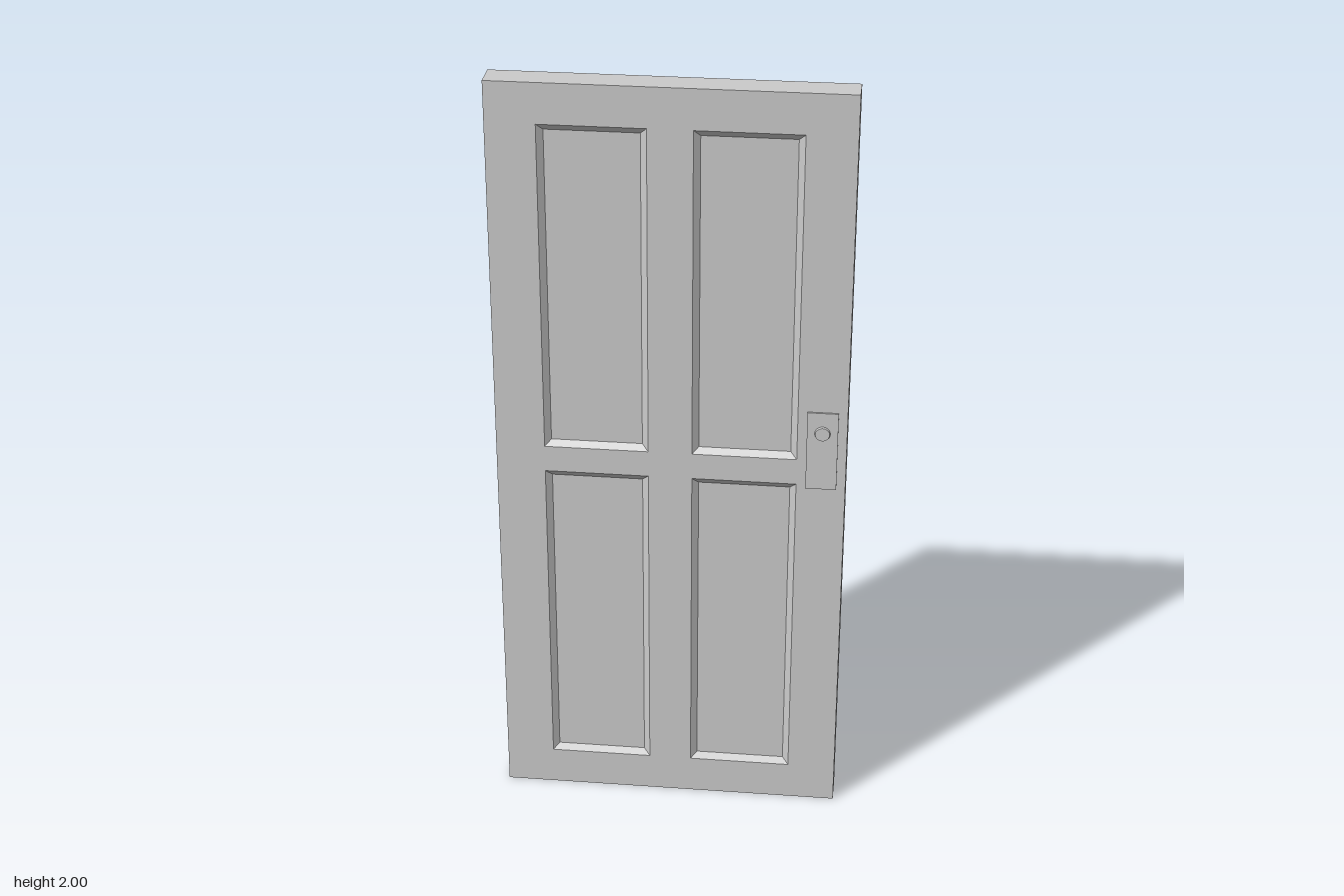
import * as THREE from 'three';

const HALF_W = 0.44, HEIGHT = 2, HALF_T = 0.037;
const BEVEL = 0.016, DEPTH = 0.012;
const material = new THREE.MeshStandardMaterial({ color: 0xcccccc });

// Sunken panels: left, right, bottom, top
const panels = [];
for (const [x0, x1] of [[-0.317, -0.055], [0.055, 0.317]]) {
  for (const [y0, y1] of [[0.103, 0.967], [1.037, 1.897]]) panels.push([x0, x1, y0, y1]);
}

function addMesh(parent, name, geometry) {
  const mesh = new THREE.Mesh(geometry, material);
  mesh.name = name;
  parent.add(mesh);
  return mesh;
}

const corners = (x0, x1, y0, y1) => [[x0, y0], [x1, y0], [x1, y1], [x0, y1]];
const points = (...box) => corners(...box).map(([x, y]) => new THREE.Vector2(x, y));

// Stiles and rails: one slab with the panel openings cut through
function frameGeometry() {
  const shape = new THREE.Shape(points(-HALF_W, HALF_W, 0, HEIGHT));
  for (const panel of panels) shape.holes.push(new THREE.Path(points(...panel).reverse()));
  const geometry = new THREE.ExtrudeGeometry(shape, { depth: 2 * HALF_T, bevelEnabled: false });
  return geometry.translate(0, 0, -HALF_T);
}

// Panel: mitred sloping border down to a flat floor
function panelGeometry(x0, x1, y0, y1) {
  const rim = corners(x0, x1, y0, y1).map(([x, y]) => [x, y, HALF_T]);
  const floor = corners(x0 + BEVEL, x1 - BEVEL, y0 + BEVEL, y1 - BEVEL)
    .map(([x, y]) => [x, y, HALF_T - DEPTH]);
  const index = [4, 5, 6, 4, 6, 7];
  for (let i = 0; i < 4; i++) {
    const j = (i + 1) % 4;
    index.push(i, j, j + 4, i, j + 4, i + 4);
  }
  const indexed = new THREE.BufferGeometry();
  indexed.setAttribute('position', new THREE.Float32BufferAttribute([...rim, ...floor].flat(), 3));
  indexed.setIndex(index);
  const geometry = indexed.toNonIndexed();
  geometry.computeVertexNormals();
  return geometry;
}

// Panels and lock fittings of one face; the mirrored flag swaps x for the back
function createFace(name, mirrored) {
  const face = new THREE.Group();
  face.name = name;
  for (const panel of panels) addMesh(face, 'panel', panelGeometry(...panel));

  const x = mirrored ? -0.379 : 0.379;
  const plate = addMesh(face, 'lockPlate', new THREE.BoxGeometry(0.077, 0.214, 0.005));
  plate.position.set(x, 1.066, HALF_T + 0.002);
  const knob = addMesh(face, 'knob', new THREE.CylinderGeometry(0.018, 0.02, 0.006, 16));
  knob.rotation.x = Math.PI / 2;
  knob.position.set(x, 1.116, HALF_T + 0.0068);

  if (mirrored) face.rotation.y = Math.PI;
  return face;
}

export function createModel() {
  const door = new THREE.Group();
  door.name = 'door';
  addMesh(door, 'frame', frameGeometry());
  door.add(createFace('frontFace', false), createFace('backFace', true));
  return door;
}
